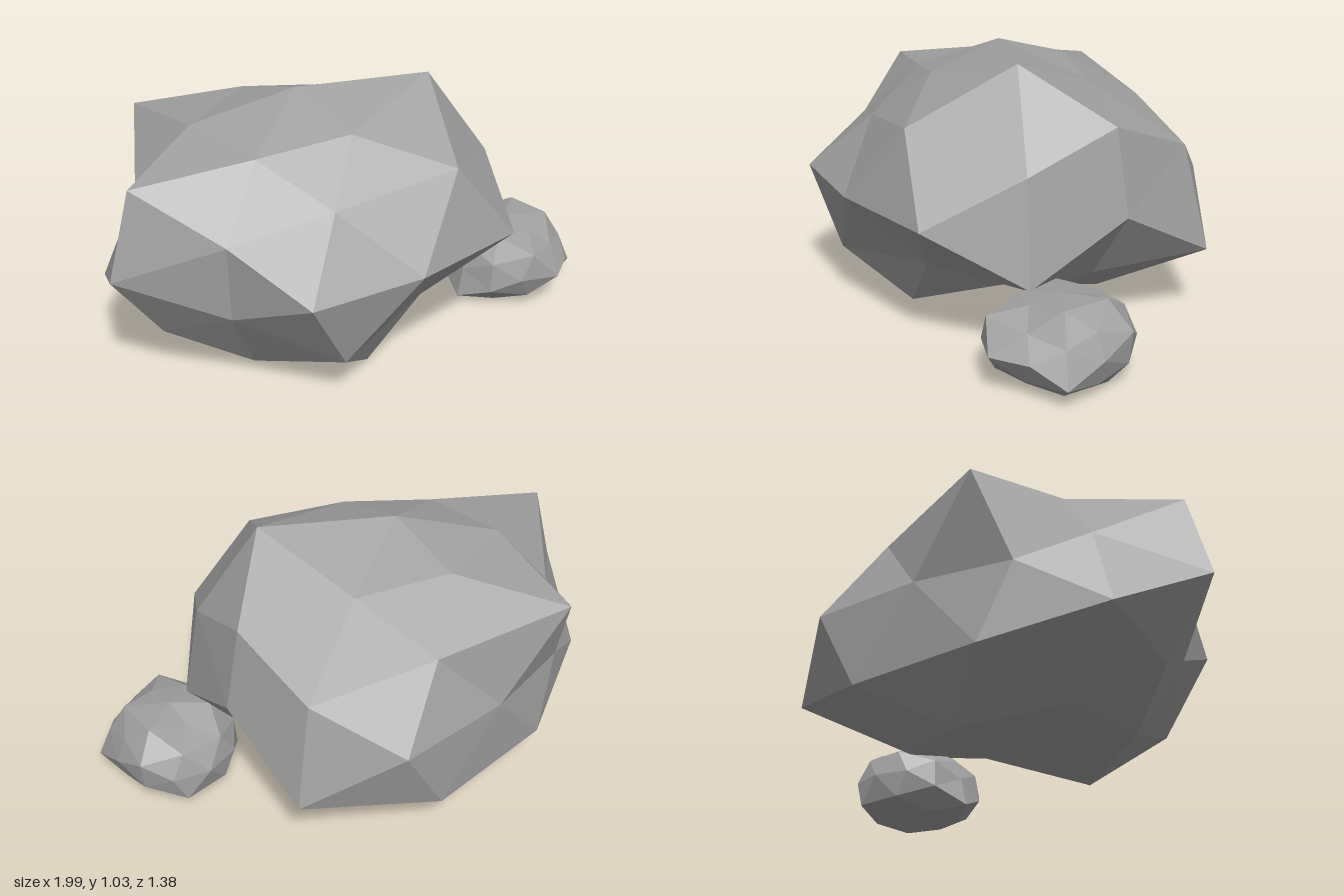
import * as THREE from 'three';

// Radii of a faceted rock, grouped by kind of direction.
// One letter: along that axis; two letters: in that plane; wide / tall / deep:
// between the axes, leaning to x / y / z. Order inside a group: + before -,
// the last axis changing fastest.
const BOULDER = {
  x: [0.812, 0.87], y: [0.741, 0.75], z: [0.844, 0.735],
  xy: [0.872, 0.725, 0.906, 0.77],
  yz: [0.72, 0.72, 0.95, 0.872],
  xz: [0.966, 0.888, 0.87, 0.73],
  wide: [0.857, 0.868, 0.937, 0.982, 0.705, 0.685, 0.68, 0.838],
  tall: [0.94, 0.69, 0.65, 0.777, 0.672, 0.718, 0.765, 0.75],
  deep: [0.882, 0.765, 0.71, 0.915, 0.68, 0.958, 0.86, 0.85],
};
const PEBBLE = {
  x: [0.255, 0.245], y: [0.24, 0.25], z: [0.303, 0.275],
  xy: [0.25, 0.26, 0.24, 0.323],
  yz: [0.25, 0.22, 0.27, 0.27],
  xz: [0.27, 0.275, 0.275, 0.27],
  wide: [0.26, 0.285, 0.315, 0.27, 0.26, 0.26, 0.28, 0.27],
  tall: [0.3, 0.3, 0.3, 0.31, 0.25, 0.27, 0.29, 0.28],
  deep: [0.24, 0.275, 0.25, 0.309, 0.305, 0.28, 0.27, 0.29],
};

// Look up the radius for a unit direction
function radiusFor(radii, dir) {
  const axes = ['x', 'y', 'z'].filter((a) => Math.abs(dir[a]) > 0.01);
  let group = axes.join('');
  if (axes.length === 3) {
    const ax = Math.abs(dir.x), ay = Math.abs(dir.y), az = Math.abs(dir.z);
    group = ax > ay && ax > az ? 'wide' : ay > az ? 'tall' : 'deep';
  }
  const index = axes.reduce((n, a) => n * 2 + (dir[a] < 0 ? 1 : 0), 0);
  return radii[group][index];
}

// Once-subdivided icosahedron, dented by the radii, squashed and cut flat at the ground
function makeRock(name, radii, scale, center, material) {
  const geometry = new THREE.IcosahedronGeometry(1, 1).rotateY(Math.PI / 2);
  const position = geometry.attributes.position;
  const p = new THREE.Vector3();
  for (let i = 0; i < position.count; i++) {
    p.fromBufferAttribute(position, i).normalize();
    p.multiplyScalar(radiusFor(radii, p)).multiply(scale).add(center);
    position.setXYZ(i, p.x, Math.max(0, p.y), p.z);
  }
  geometry.computeVertexNormals(); // unshared corners keep the facets flat
  const mesh = new THREE.Mesh(geometry, material);
  mesh.name = name;
  return mesh;
}

export function createModel() {
  const group = new THREE.Group();
  group.name = 'rocks';
  const stone = new THREE.MeshStandardMaterial({ color: 0xa0a0a0 });
  stone.name = 'grey stone';

  group.add(
    makeRock('boulder', BOULDER, new THREE.Vector3(1, 0.71, 0.85), new THREE.Vector3(-0.13, 0.49, -0.03), stone),
    makeRock('smallRock', PEBBLE, new THREE.Vector3(1, 0.7, 1), new THREE.Vector3(0.735, 0.143, 0.32), stone),
  );
  return group;
}
